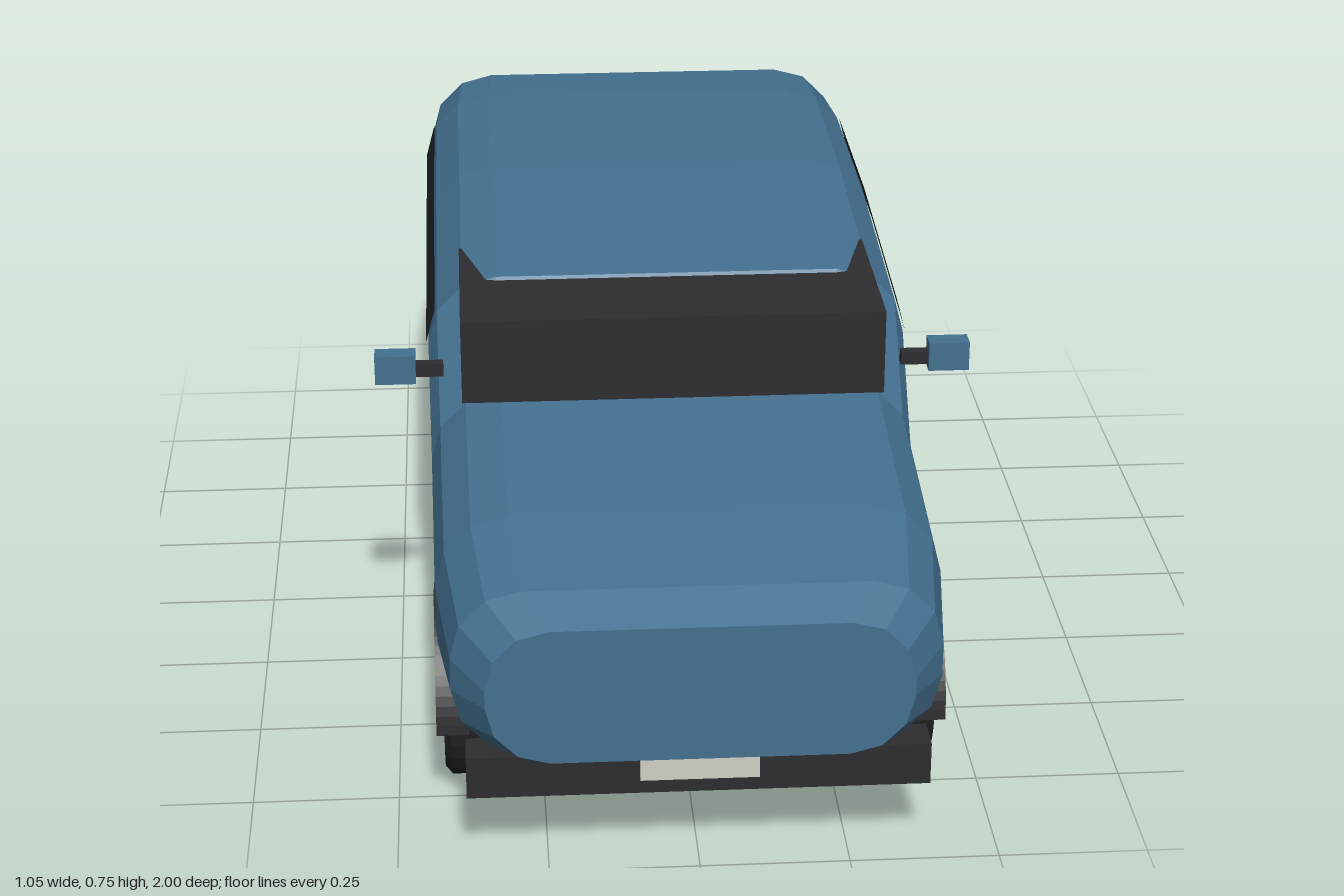
import * as THREE from 'three';

const paint = new THREE.MeshStandardMaterial({ color: 0x43708f, flatShading: true });
const dark = new THREE.MeshStandardMaterial({ color: 0x2d2d30 });
const rubber = new THREE.MeshStandardMaterial({ color: 0x222224 });
const pale = new THREE.MeshStandardMaterial({ color: 0xd0d0c8 });
const glass = new THREE.MeshStandardMaterial({ color: 0x222428, side: THREE.DoubleSide });

function add(parent, name, geometry, material, x = 0, y = 0, z = 0) {
  const mesh = new THREE.Mesh(geometry, material);
  mesh.name = name;
  mesh.position.set(x, y, z);
  parent.add(mesh);
  return mesh;
}

function box(parent, name, material, w, h, d, x, y, z) {
  return add(parent, name, new THREE.BoxGeometry(w, h, d), material, x, y, z);
}

// Body stations: z, bottom, top, half width, corner radius
const STATIONS = [
  [1, 0.205, 0.447, 0.35, 0.105],
  [0.92, 0.183, 0.48, 0.405, 0.12],
  [0.72, 0.17, 0.517, 0.428, 0.125],
  [0.31, 0.16, 0.56, 0.432, 0.125],
  [0.15, 0.157, 0.72, 0.434, 0.125],
  [-0.34, 0.157, 0.755, 0.434, 0.125],
  [-0.77, 0.157, 0.755, 0.434, 0.125],
  [-0.94, 0.163, 0.745, 0.425, 0.125],
  [-1, 0.21, 0.705, 0.385, 0.105],
];

// Rounded rectangle with three facets per corner, counter-clockwise
function section([z, bottom, top, half, r]) {
  const points = [];
  for (let corner = 0; corner < 4; corner++) {
    const cx = (corner === 0 || corner === 3 ? 1 : -1) * (half - r);
    const cy = corner < 2 ? top - r : bottom + r;
    for (let i = 0; i <= 3; i++) {
      const a = (corner + i / 3) * Math.PI / 2;
      points.push([cx + r * Math.cos(a), cy + r * Math.sin(a), z]);
    }
  }
  return points;
}

function bodyGeometry() {
  const rings = STATIONS.map(section);
  const n = rings[0].length, last = rings.length - 1;
  const index = [];
  for (let s = 0; s < last; s++) {
    for (let i = 0; i < n; i++) {
      const j = (i + 1) % n;
      const a = s * n + i, b = s * n + j, c = a + n, d = b + n;
      index.push(a, c, b, b, c, d);
    }
  }
  for (let i = 1; i < n - 1; i++) {
    index.push(0, i, i + 1);
    index.push(last * n, last * n + i + 1, last * n + i);
  }
  const g = new THREE.BufferGeometry();
  g.setAttribute('position', new THREE.Float32BufferAttribute(rings.flat(2), 3));
  g.setIndex(index);
  const flat = g.toNonIndexed();
  flat.computeVertexNormals();
  return flat;
}

// Window strip lying just outside the lowest facet of the upper corner
function windowGeometry(side) {
  const positions = [], index = [];
  STATIONS.slice(4, 7).forEach((station, k) => {
    const [low, high] = section(station);
    for (const [x, y, z] of [low, high]) positions.push(side * (x + 0.004), y + 0.001, z);
    if (k > 0) {
      const a = 2 * k - 2;
      index.push(a, a + 2, a + 1, a + 1, a + 2, a + 3);
    }
  });
  if (side < 0) index.reverse();
  const g = new THREE.BufferGeometry();
  g.setAttribute('position', new THREE.Float32BufferAttribute(positions, 3));
  g.setIndex(index);
  g.computeVertexNormals();
  return g;
}

// Tyre with bevelled shoulders, axle along x
function wheelGeometry() {
  const profile = [[0, -0.048], [0.138, -0.048], [0.152, -0.036], [0.152, 0.036], [0.138, 0.048], [0, 0.048]];
  const g = new THREE.LatheGeometry(profile.map(([r, h]) => new THREE.Vector2(r, h)), 28);
  g.rotateZ(-Math.PI / 2);
  const flat = g.toNonIndexed();
  flat.computeVertexNormals();
  return flat;
}

// Half ring over the wheel
function archGeometry() {
  const shape = new THREE.Shape();
  shape.absarc(0, 0, 0.177, 0, Math.PI, false);
  shape.absarc(0, 0, 0.157, Math.PI, 0, true);
  const g = new THREE.ExtrudeGeometry(shape, { depth: 0.055, bevelEnabled: false, curveSegments: 16 });
  g.translate(0, 0, -0.0275);
  g.rotateY(Math.PI / 2);
  return g;
}

export function createModel() {
  const car = new THREE.Group();
  car.name = 'car';

  add(car, 'body', bodyGeometry(), paint);
  box(car, 'windscreen', dark, 0.75, 0.155, 0.355, 0, 0.6375, 0.17);

  const wheel = wheelGeometry(), arch = archGeometry();
  for (const side of [1, -1]) {
    const label = side > 0 ? 'left' : 'right';
    add(car, label + 'SideWindow', windowGeometry(side), glass);

    // Door mirror
    const mirror = new THREE.Group();
    mirror.name = label + 'Mirror';
    box(mirror, 'mirrorArm', dark, 0.055, 0.024, 0.02, side * 0.434, 0.617, 0.32);
    box(mirror, 'mirrorHousing', paint, 0.072, 0.053, 0.038, side * 0.491, 0.622, 0.32);
    car.add(mirror);

    for (const [end, z] of [['Front', 0.635], ['Rear', -0.63]]) {
      add(car, label + end + 'Wheel', wheel, rubber, side * 0.371, 0.152, z);
      add(car, label + end + 'WheelArch', arch, dark, side * 0.404, 0.155, z);
    }
  }

  // Bumpers and blank plates at both ends
  for (const [end, dir] of [['front', 1], ['rear', -1]]) {
    box(car, end + 'Bumper', dark, 0.766, 0.075, 0.066, 0, 0.1675, dir * 0.943);
    box(car, end + 'Plate', pale, 0.196, 0.04, 0.02, 0, 0.181, dir * 0.98);
  }
  return car;
}
